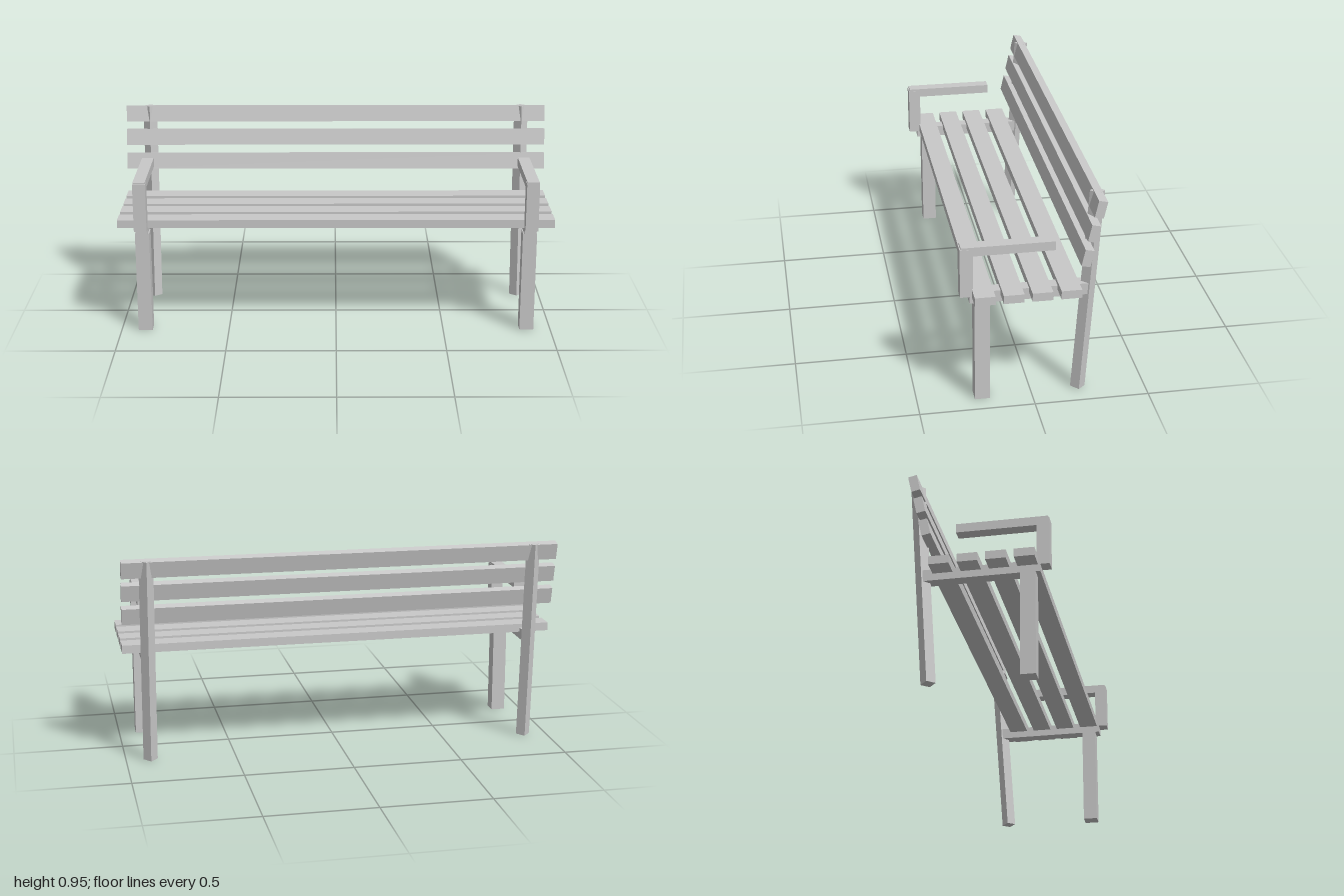
import * as THREE from 'three';

export function createModel() {
  const bench = new THREE.Group();
  bench.name = 'bench';
  const grey = new THREE.MeshStandardMaterial({ color: 0xc8c8c8 });
  grey.name = 'lightGrey';

  // Square-cut timber: size, centre and backward tilt
  function beam(name, [w, h, d], [x, y, z], tilt = 0) {
    const mesh = new THREE.Mesh(new THREE.BoxGeometry(w, h, d), grey);
    mesh.name = name;
    mesh.position.set(x, y, z);
    mesh.rotation.x = -tilt;
    bench.add(mesh);
    return mesh;
  }
  // Timber given by its extents in y and z
  const span = (name, x, w, y0, y1, z0, z1) =>
    beam(name, [w, y1 - y0, z1 - z0], [x, (y0 + y1) / 2, (z0 + z1) / 2]);

  // Seat slats
  [0.216, 0.094, -0.028, -0.151].forEach((z, i) =>
    beam(`seatSlat${i + 1}`, [2, 0.038, 0.088], [0, 0.524, z]));

  // Backrest slats, leaning further back than the posts
  [[0.688, -0.2155], [0.8, -0.2405], [0.909, -0.266]].forEach(([y, z], i) =>
    beam(`backSlat${i + 1}`, [2, 0.076, 0.039], [0, y, z], 0.22));

  // Both end frames
  for (const [side, s] of [['left', 1], ['right', -1]]) {
    const x = s * 0.889;
    span(`${side}FrontLeg`, x, 0.065, 0, 0.475, 0.184, 0.25);
    span(`${side}SeatRail`, x, 0.055, 0.473, 0.525, -0.24, 0.27);
    span(`${side}ArmPost`, x, 0.058, 0.505, 0.727, 0.254, 0.31);
    span(`${side}Armrest`, x, 0.055, 0.695, 0.736, -0.096, 0.305);

    // Back post stands corner-on and leans back
    const post = beam(`${side}BackPost`, [0.046, 0.944, 0.046], [x, 0.4745, -0.241], 0.069);
    post.geometry.rotateY(Math.PI / 4);
  }
  return bench;
}
